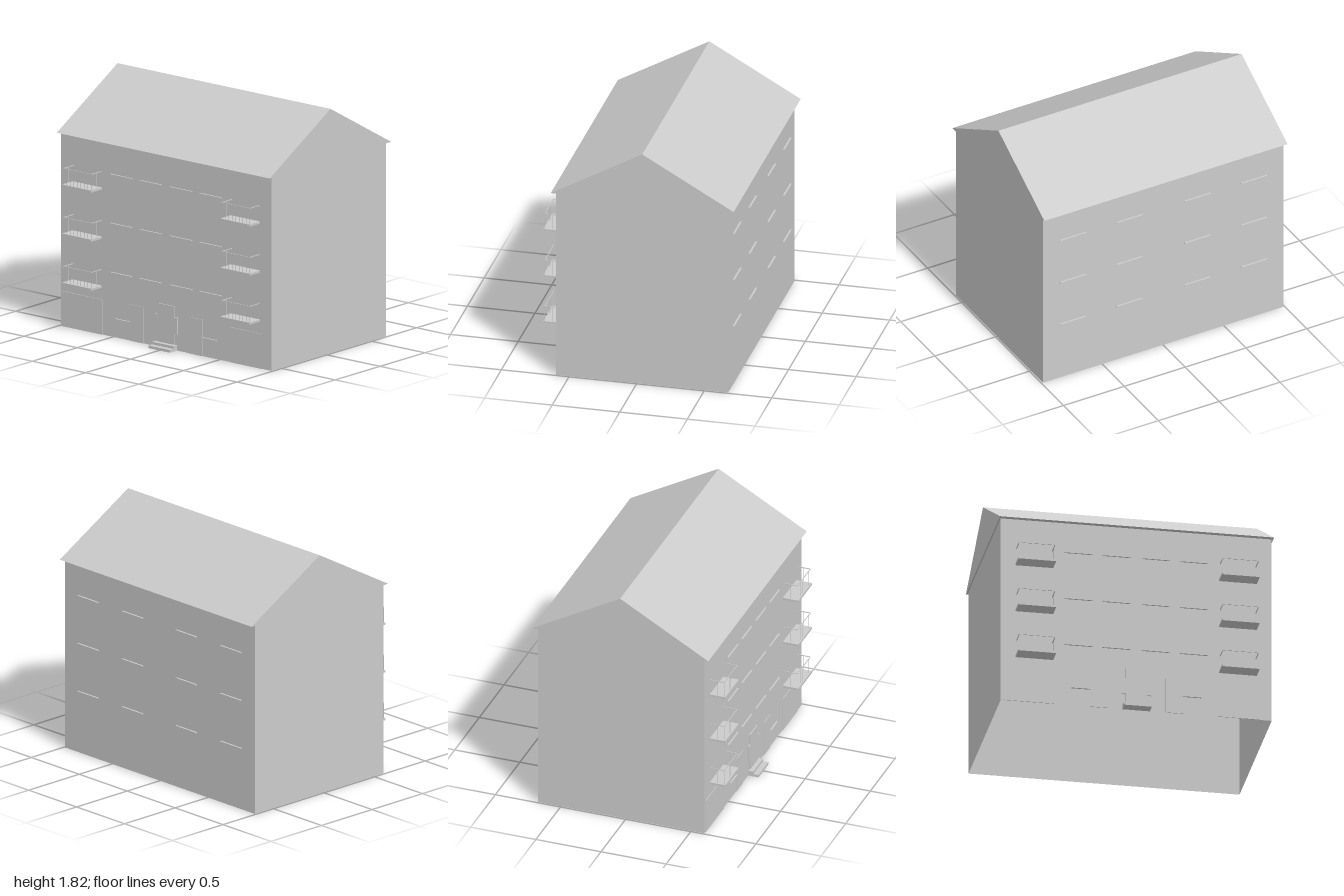
import * as THREE from 'three';

export function createModel() {
  const model = new THREE.Group();
  const mat = new THREE.MeshStandardMaterial({ color: 0xcccccc, flatShading: true });
  const thin = new THREE.MeshStandardMaterial({ color: 0xcccccc, side: THREE.DoubleSide });
  const FRONT = 0.6, BACK = -0.675, SIDE = 0.989, EAVES = 1.437;

  // Box given by its limits on each axis
  function box(name, x0, x1, y0, y1, z0, z1, parent = model) {
    const mesh = new THREE.Mesh(new THREE.BoxGeometry(x1 - x0, y1 - y0, z1 - z0), mat);
    mesh.position.set((x0 + x1) / 2, (y0 + y1) / 2, (z0 + z1) / 2);
    mesh.name = name;
    parent.add(mesh);
    return mesh;
  }

  // Upright sheet facing along the given turn about y
  function sheet(name, width, height, x, y, z, turn, parent = model) {
    const mesh = new THREE.Mesh(new THREE.PlaneGeometry(width, height), thin);
    mesh.position.set(x, y, z);
    mesh.rotation.y = turn;
    mesh.name = name;
    parent.add(mesh);
  }

  // Hollow walls, open underneath
  const midZ = (FRONT + BACK) / 2;
  sheet('frontWall', SIDE * 2, EAVES, 0, EAVES / 2, FRONT, 0);
  sheet('backWall', SIDE * 2, EAVES, 0, EAVES / 2, BACK, Math.PI);
  for (const s of [-1, 1])
    sheet('sideWall', FRONT - BACK, EAVES, s * SIDE, EAVES / 2, midZ, s * Math.PI / 2);

  // Gabled roof: triangle in (-z, y), extruded along x
  const gable = new THREE.Shape();
  gable.moveTo(-0.635, EAVES);
  gable.lineTo(0.718, EAVES);
  gable.lineTo(0.042, 1.818);
  gable.closePath();
  const roofGeo = new THREE.ExtrudeGeometry(gable, { depth: 2, bevelEnabled: false });
  roofGeo.translate(0, 0, -1);
  roofGeo.rotateY(Math.PI / 2);
  const roof = new THREE.Mesh(roofGeo, mat);
  roof.name = 'roof';
  model.add(roof);

  // Balcony: slab, rail on three sides, flat balusters
  function balcony(x, y) {
    const g = new THREE.Group();
    g.name = 'balcony';
    const x0 = x - 0.133, x1 = x + 0.133, top = y + 0.136, railZ = 0.712, t = 0.005;
    box('balconySlab', x - 0.137, x + 0.137, y, y + 0.016, FRONT, 0.72, g);
    box('frontRail', x0, x1, top - t, top, railZ - t, railZ, g);
    box('sideRail', x0, x0 + t, top - t, top, FRONT, railZ, g);
    box('sideRail', x1 - t, x1, top - t, top, FRONT, railZ, g);
    for (let i = 0; i <= 8; i++)
      sheet('baluster', 0.004, 0.116, x0 + 0.002 + i * 0.03275, y + 0.074, railZ - 0.002, 0, g);
    for (const px of [x0 + 0.002, x1 - 0.002])
      sheet('sideBaluster', 0.004, 0.116, px, y + 0.074, 0.655, Math.PI / 2, g);
    model.add(g);
  }

  // Upper floors: balconies and window sills
  for (const floor of [0, 1, 2]) {
    const y = floor * 0.364;
    for (const s of [-1, 1]) balcony(s * 0.743, y + 0.347);
    for (const x of [-0.42, -0.143, 0.143, 0.42])
      box('frontSill', x - 0.102, x + 0.102, y + 0.474, y + 0.48, FRONT, 0.612);
    for (const x of [-0.745, -0.28, 0.28, 0.745])
      box('backSill', x - 0.107, x + 0.107, y + 0.462, y + 0.468, BACK - 0.014, BACK);
  }

  // Ground floor: wide doors, narrow doors and low sills on both sides
  for (const [x0, x1] of [[-0.97, -0.6], [0.6, 0.9]])
    box('wideDoor', x0, x1, 0, 0.26, FRONT, 0.605);
  for (const s of [-1, 1]) {
    const door = box('narrowDoor', 0.215, 0.345, 0, 0.27, FRONT, 0.605);
    door.position.x *= s;
    const sill = box('lowSill', 0.336, 0.474, 0.135, 0.141, FRONT, 0.612);
    sill.position.x *= s;
  }

  // Main entrance with side panels and steps
  box('entranceDoor', -0.077, 0.077, 0.04, 0.325, FRONT, 0.608);
  for (const s of [-1, 1]) {
    const panel = box('entrancePanel', 0.077, 0.108, 0.12, 0.245, FRONT, 0.61);
    panel.position.x *= s;
  }
  box('lowerStep', -0.1, 0.1, 0, 0.02, FRONT, 0.68);
  box('upperStep', -0.1, 0.1, 0.02, 0.04, FRONT, 0.64);

  return model;
}
